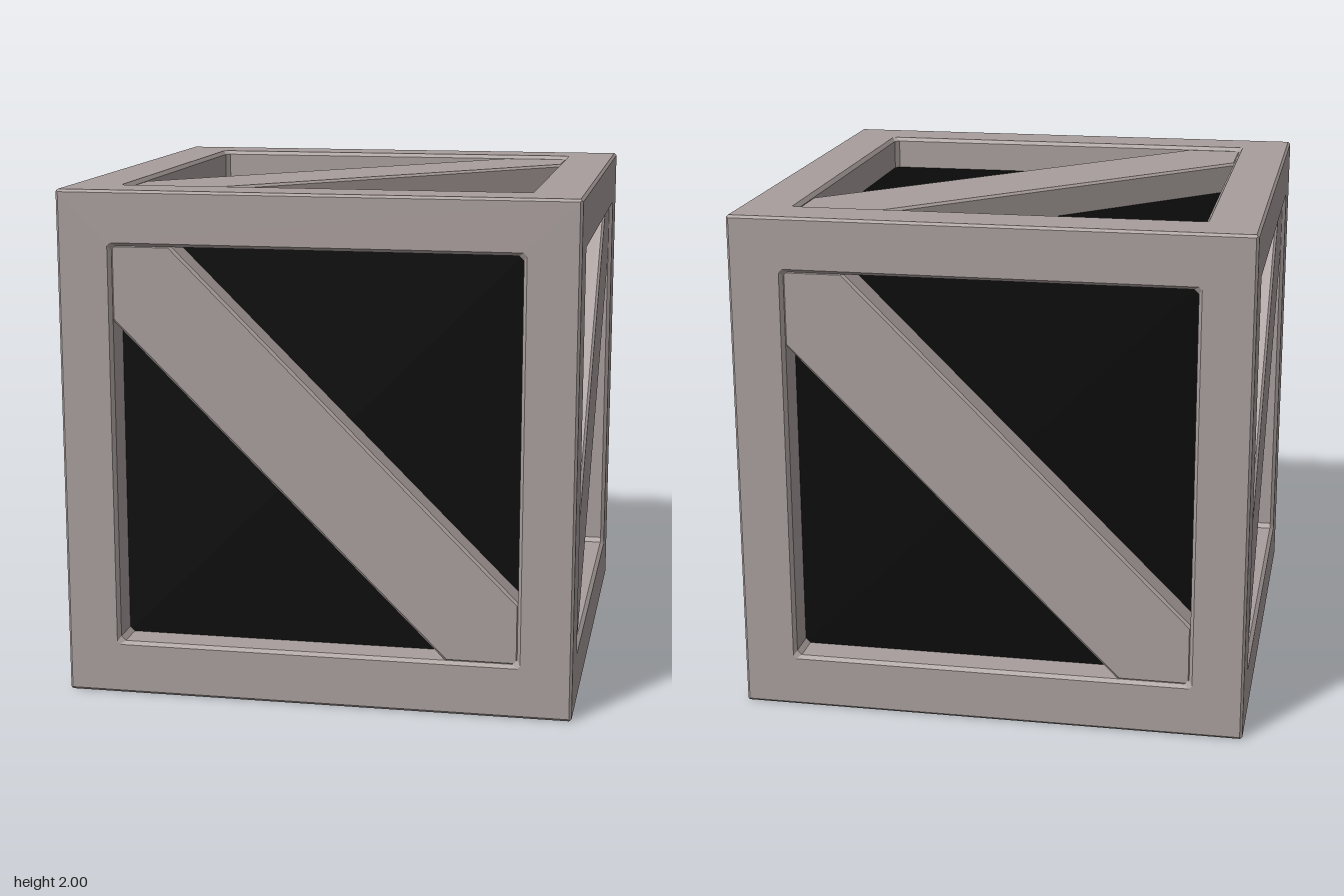
import * as THREE from 'three';

const OPEN = 0.787;   // half width of the opening in each side
const PANEL = 0.865;  // distance of the recessed panels from the centre
const TOP = 0.985;    // distance of the plank faces from the centre

const wood = new THREE.MeshStandardMaterial({ color: 0xa89e9c });
const black = new THREE.MeshStandardMaterial({ color: 0x0a0a0a });

// Square ring with cut corners: half width h, corner cut c, at depth z
function ring([h, c, z]) {
  const k = h - c;
  return [[h, -k], [h, k], [k, h], [-k, h], [-h, k], [-h, -k], [-k, -h], [k, -h]]
    .map(([x, y]) => new THREE.Vector3(x, y, z));
}

// Frame of one side: outer chamfer, flat face, inner chamfer, inner wall
function frameGeometry() {
  const rings = [
    [0.995, 0, 0.995], [0.99, 0, 1], [0.8, 0.012, 1],
    [OPEN, 0.018, TOP], [OPEN, 0.018, PANEL - 0.01],
  ].map(ring);
  const pos = [];
  const tri = (a, b, c) => {
    if (a.equals(b) || b.equals(c) || c.equals(a)) return;
    pos.push(...a, ...b, ...c);
  };
  for (let r = 0; r < rings.length - 1; r++) {
    for (let i = 0; i < 8; i++) {
      const j = (i + 1) % 8;
      const [a, b, c, d] = [rings[r][i], rings[r][j], rings[r + 1][j], rings[r + 1][i]];
      tri(a, b, c);
      tri(a, c, d);
    }
  }
  const geo = new THREE.BufferGeometry();
  geo.setAttribute('position', new THREE.Float32BufferAttribute(pos, 3));
  geo.computeVertexNormals();
  return geo;
}

// Diagonal plank, cut to fit the opening; flip = -1 runs it the other way
function plankGeometry(flip) {
  const e = 0.793;
  const outline = [[e, e], [0.51, e], [-e, -0.5], [-e, -e], [-0.56, -e], [e, 0.55]];
  const shape = new THREE.Shape(outline.map(([x, y]) => new THREE.Vector2(x, y * flip)));
  const bevel = 0.01;
  const back = PANEL - 0.03;
  const geo = new THREE.ExtrudeGeometry(shape, {
    depth: TOP - back - 2 * bevel, bevelEnabled: true, bevelSegments: 1,
    bevelSize: bevel, bevelThickness: bevel, bevelOffset: -bevel,
  });
  geo.translate(0, 0, back + bevel);
  return geo;
}

export function createModel() {
  const crate = new THREE.Group();
  crate.name = 'crate';
  const frame = frameGeometry();
  const panel = new THREE.PlaneGeometry(1.6, 1.6).translate(0, 0, PANEL);
  const rising = plankGeometry(1);
  const falling = plankGeometry(-1);

  // Side name, rotation about x, rotation about y, plank (none underneath)
  const sides = [
    ['front', 0, 0, falling],
    ['left', 0, Math.PI / 2, rising],
    ['back', 0, Math.PI, falling],
    ['right', 0, -Math.PI / 2, rising],
    ['top', -Math.PI / 2, 0, rising],
    ['bottom', Math.PI / 2, 0, null],
  ];
  for (const [name, rx, ry, plank] of sides) {
    const side = new THREE.Group();
    side.name = name + 'Side';
    const add = (part, geo, mat) => {
      const mesh = new THREE.Mesh(geo, mat);
      mesh.name = name + part;
      side.add(mesh);
    };
    add('Frame', frame, wood);
    add('Panel', panel, plank ? black : wood);
    if (plank) add('Plank', plank, wood);
    side.rotation.set(rx, ry, 0);
    side.position.y = 1;
    crate.add(side);
  }
  return crate;
}
